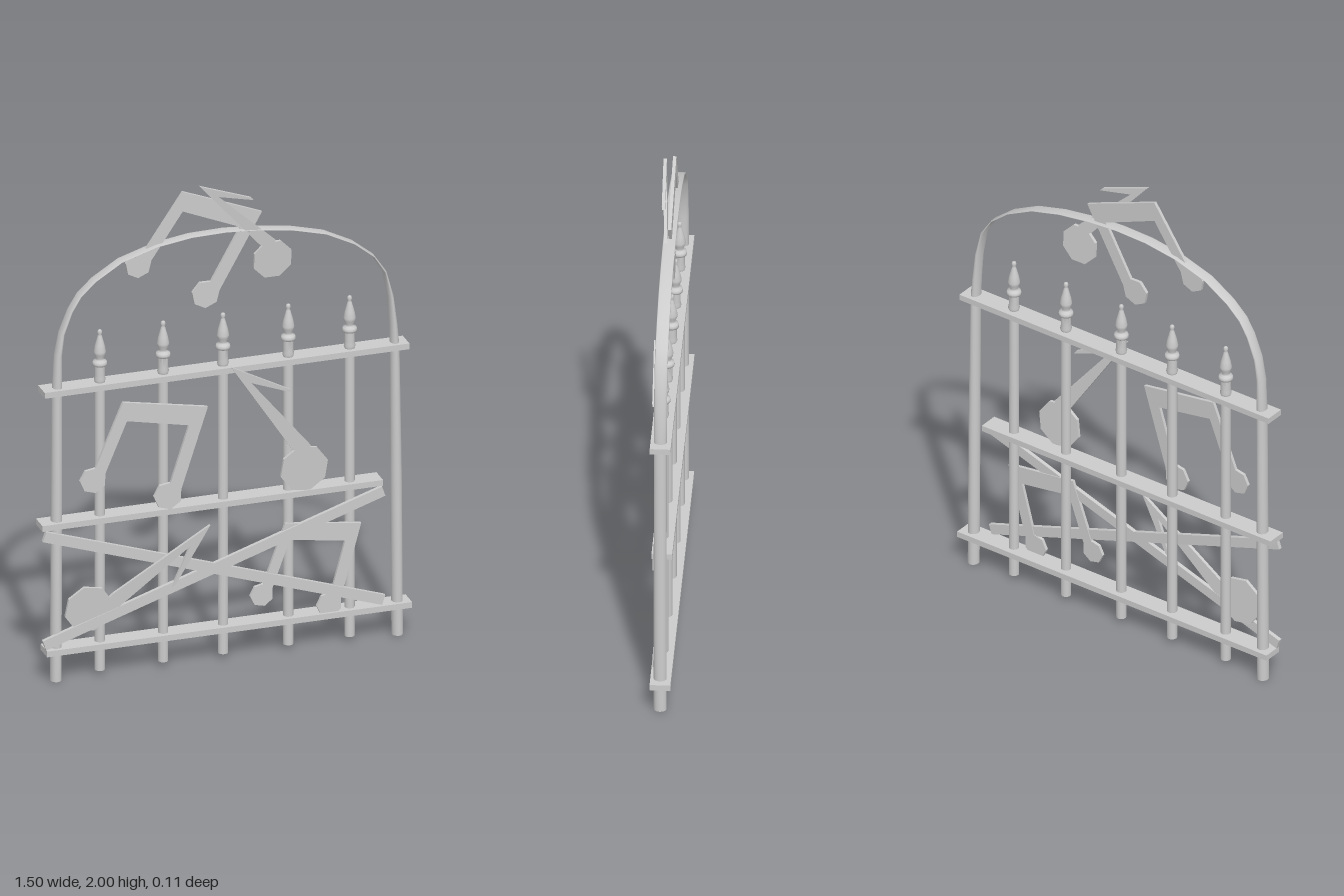
import * as THREE from 'three';

const MID_Z = -0.013; // centre plane of the bars and arch

export function createModel() {
  const group = new THREE.Group();
  const mat = new THREE.MeshStandardMaterial({ color: 0xcccccc });
  const flat = new THREE.MeshStandardMaterial({ color: 0xcccccc, flatShading: true });
  const add = (name, geo, material = mat) => {
    const mesh = new THREE.Mesh(geo, material);
    mesh.name = name;
    group.add(mesh);
    return mesh;
  };

  // Arched frame: round posts that flatten into a thin ribbon at the crown.
  // Each entry is x, y, in-plane half thickness.
  add('archFrame', sweep([
    [-0.686, 0, 0.022], [-0.683, 0.65, 0.022], [-0.681, 1.2, 0.02], [-0.677, 1.36, 0.015],
    [-0.662, 1.45, 0.01], [-0.627, 1.54, 0.007], [-0.59, 1.6, 0.005], [-0.53, 1.655, 0.004],
    [-0.425, 1.72, 0.003], [-0.28, 1.765, 0.003], [-0.14, 1.785, 0.003], [0, 1.788, 0.003],
    [0.14, 1.777, 0.003], [0.275, 1.757, 0.003], [0.405, 1.723, 0.003], [0.52, 1.665, 0.003],
    [0.6, 1.6, 0.004], [0.647, 1.528, 0.006], [0.672, 1.42, 0.011], [0.684, 1.3, 0.015],
    [0.69, 1.2, 0.018], [0.696, 0.65, 0.022], [0.7, 0, 0.022],
  ], 0.025, 16));

  // Horizontal rails: left end, right end, height
  for (const [name, x0, x1, y] of [
    ['topRail', -0.743, 0.737, 1.213],
    ['middleRail', -0.752, 0.63, 0.656],
    ['bottomRail', -0.733, 0.748, 0.128],
  ]) {
    add(name, new THREE.BoxGeometry(x1 - x0, 0.024, 0.08)).position.set((x0 + x1) / 2, y, -0.015);
  }

  // Crossed braces on the front of the bars
  for (const s of [-1, 1]) {
    const brace = add('crossBrace', new THREE.BoxGeometry(1.45, 0.042, 0.016));
    brace.position.set(-0.054, 0.391, 0.013);
    brace.rotation.z = s * Math.atan2(0.456, 1.377);
  }

  // Upright bars with turned finials
  const bar = new THREE.CylinderGeometry(0.02, 0.02, 1.28, 14);
  const finial = new THREE.LatheGeometry([
    [0.02, 1.225], [0.023, 1.235], [0.02, 1.25], [0.02, 1.293], [0.028, 1.295], [0.029, 1.303],
    [0.027, 1.312], [0.017, 1.317], [0.015, 1.325], [0.022, 1.34], [0.024, 1.352], [0.019, 1.378],
    [0.008, 1.418], [0.006, 1.423], [0.01, 1.432], [0.007, 1.441], [0, 1.444],
  ].map(([r, y]) => new THREE.Vector2(r, y)), 14);
  for (const x of [-0.507, -0.25, -0.007, 0.258, 0.507]) {
    add('uprightBar', bar).position.set(x, 0.66, MID_Z);
    add('finial', finial).position.set(x, 0, MID_Z);
  }

  // Cut-plate music notes
  const note = (name, shapes, opts) => add(name, plate(shapes, opts), flat);
  const beamed = beamedNote();
  const single = singleNote();
  note('beamedNoteUpper', beamed, { x: -0.426, y: 1.141, z: 0.02, kx: 0.04 });
  note('beamedNoteLower', beamed, { x: 0.237, y: 0.536, z: 0.008, turn: 2.5, scale: 0.9 });
  note('beamedNoteCrown', beamed, { x: -0.171, y: 1.973, z: -0.015, turn: -11.7 });
  note('singleNoteUpper', single, { x: 0.005, y: 1.238, z: 0.047, ky: 0.06 });
  note('singleNoteLower', single, { x: -0.076, y: 0.584, z: 0.034, ky: 0.07, turn: -91.6 });
  note('singleNoteCrown', single, { x: -0.113, y: 2, z: 0.018, ky: 0.08, turn: 7.8, scale: 0.83 });
  return group;
}

// Straight-edged shape from points in hundredths of a unit
function polygon(points) {
  return new THREE.Shape(points.map(([x, y]) => new THREE.Vector2(x / 100, y / 100)));
}

function noteHead(x, y, r, sides, start) {
  return polygon(Array.from({ length: sides }, (_, i) => {
    const a = start + (i / sides) * Math.PI * 2;
    return [x + r * Math.cos(a), y + r * Math.sin(a)];
  }));
}

// Two stems joined by a beam; origin at the beam's upper left corner
function beamedNote() {
  return [
    polygon([[0, 0], [-11.1, -26.6], [-7.4, -29.7], [1.6, -8], [26.5, -12.8],
      [19.1, -36.1], [22.3, -42.5], [34, -5.9]]),
    noteHead(-11.9, -31.3, 5.3, 7, 0.4),
    noteHead(18.1, -41.4, 5.7, 7, 0.4),
  ];
}

// One stem with a flag; origin at the tip
function singleNote() {
  return [
    polygon([[0, 0], [25, -38], [31, -44], [33, -38], [8.2, -7.8], [25, -14.3], [24, -12.8]]),
    noteHead(30.6, -47.7, 9.8, 8, 0.25),
  ];
}

// Extrude a thin plate, turn and place it, then lean it forward by a linear slope
function plate(shapes, { x, y, z, kx = 0, ky = 0, turn = 0, scale = 1 }) {
  const depth = 0.013;
  const geo = new THREE.ExtrudeGeometry(shapes, { depth, bevelEnabled: false });
  geo.translate(0, 0, -depth / 2);
  geo.scale(scale, scale, 1);
  geo.rotateZ(THREE.MathUtils.degToRad(turn));
  const p = geo.attributes.position;
  for (let i = 0; i < p.count; i++) {
    p.setZ(i, p.getZ(i) + kx * p.getX(i) + ky * p.getY(i));
  }
  geo.translate(x, y, z);
  geo.computeVertexNormals();
  return geo;
}

// Sweep an ellipse of varying thickness along a path, with closed ends
function sweep(path, halfDepth, sides) {
  const pos = [];
  const index = [];
  path.forEach(([x, y, t], i) => {
    const a = path[Math.max(i - 1, 0)];
    const b = path[Math.min(i + 1, path.length - 1)];
    const len = Math.hypot(b[0] - a[0], b[1] - a[1]);
    const nx = -(b[1] - a[1]) / len;
    const ny = (b[0] - a[0]) / len;
    for (let j = 0; j < sides; j++) {
      const c = Math.cos((j / sides) * Math.PI * 2) * t;
      const s = Math.sin((j / sides) * Math.PI * 2) * halfDepth;
      pos.push(x + nx * c, y + ny * c, MID_Z + s);
      if (i === path.length - 1) continue;
      const k = (j + 1) % sides;
      const r0 = i * sides;
      const r1 = r0 + sides;
      index.push(r0 + j, r0 + k, r1 + j, r0 + k, r1 + k, r1 + j);
    }
  });
  // End caps use their own vertices so the rims stay sharp
  const last = (path.length - 1) * sides;
  for (const [ring, flip] of [[0, true], [last, false]]) {
    const base = pos.length / 3;
    pos.push(...pos.slice(ring * 3, (ring + sides) * 3));
    for (let j = 1; j < sides - 1; j++) {
      index.push(base, base + (flip ? j + 1 : j), base + (flip ? j : j + 1));
    }
  }
  const geo = new THREE.BufferGeometry();
  geo.setAttribute('position', new THREE.Float32BufferAttribute(pos, 3));
  geo.setIndex(index);
  geo.computeVertexNormals();
  return geo;
}
